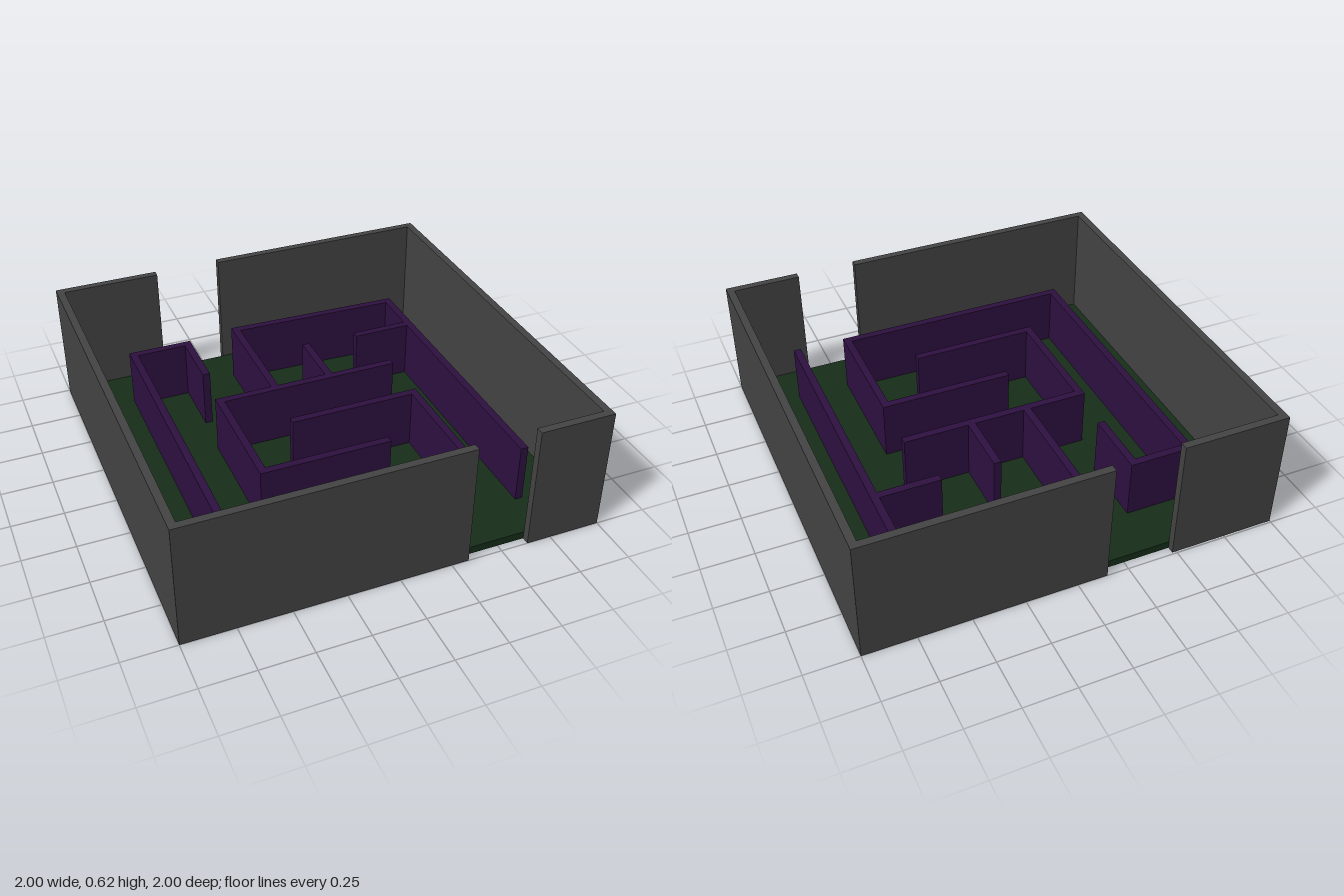
import * as THREE from 'three';

const THICK = 0.037;
const FLOOR_TOP = 0.038;

// Mitred wall of constant thickness along a plan path of [x, z] points
function wallRun(name, path, bottom, top, material, thick = THICK) {
  const pts = path.map(([x, z]) => new THREE.Vector2(x, -z));
  const normals = pts.slice(1).map((p, i) => {
    const d = p.clone().sub(pts[i]).normalize();
    return new THREE.Vector2(-d.y, d.x);
  });
  const left = [], right = [];
  pts.forEach((p, i) => {
    const a = normals[Math.max(i - 1, 0)];
    const b = normals[Math.min(i, normals.length - 1)];
    const offset = a.clone().add(b).multiplyScalar(thick / 2 / (1 + a.dot(b)));
    left.push(p.clone().add(offset));
    right.unshift(p.clone().sub(offset));
  });
  const geometry = new THREE.ExtrudeGeometry(new THREE.Shape([...left, ...right]), {
    depth: top - bottom, bevelEnabled: false,
  });
  geometry.rotateX(-Math.PI / 2).translate(0, bottom, 0);
  const mesh = new THREE.Mesh(geometry, material);
  mesh.name = name;
  return mesh;
}

export function createModel() {
  const model = new THREE.Group();
  model.name = 'walledMaze';
  const stone = new THREE.MeshStandardMaterial({ color: 0x444444 });
  const hedge = new THREE.MeshStandardMaterial({ color: 0x2e1040 });
  const grass = new THREE.MeshStandardMaterial({ color: 0x162e1a });

  // Floor slab inside the enclosure
  const floor = new THREE.Mesh(new THREE.BoxGeometry(1.926, FLOOR_TOP, 1.92), grass);
  floor.position.set(0, FLOOR_TOP / 2, 0.003);
  floor.name = 'floor';
  model.add(floor);

  // Outer walls, split by the front and back openings
  const E = 0.9815;
  const outer = new THREE.Group();
  outer.name = 'outerWalls';
  outer.add(
    wallRun('outerWallRight', [[-0.48, -0.972], [-E, -0.972], [-E, E], [0.333, E]], 0, 0.615, stone),
    wallRun('outerWallLeft', [[0.632, E], [E, E], [E, -E], [-0.145, -E]], 0, 0.615, stone),
  );
  model.add(outer);

  // Maze partitions
  const partitions = {
    longPartition: [[-0.414, -0.385], [-0.414, -0.699], [-0.699, -0.699], [-0.699, 0.727],
      [0.47, 0.727], [0.47, 0.141], [-0.168, 0.141]],
    backPartition: [[-0.137, -0.16], [-0.137, -0.736], [0.732, -0.709], [0.732, 0.746]],
    middlePartition: [[0.487, -0.142], [-0.425, -0.142], [-0.425, 0.449], [0.195, 0.449]],
    sideStub: [[0.422, -0.449], [0.7135, -0.449]],
    middleStub: [[0.149, -0.46], [0.149, -0.16]],
  };
  const maze = new THREE.Group();
  maze.name = 'mazePartitions';
  for (const [name, path] of Object.entries(partitions)) {
    maze.add(wallRun(name, path, FLOOR_TOP, 0.33, hedge));
  }
  model.add(maze);

  return model;
}
